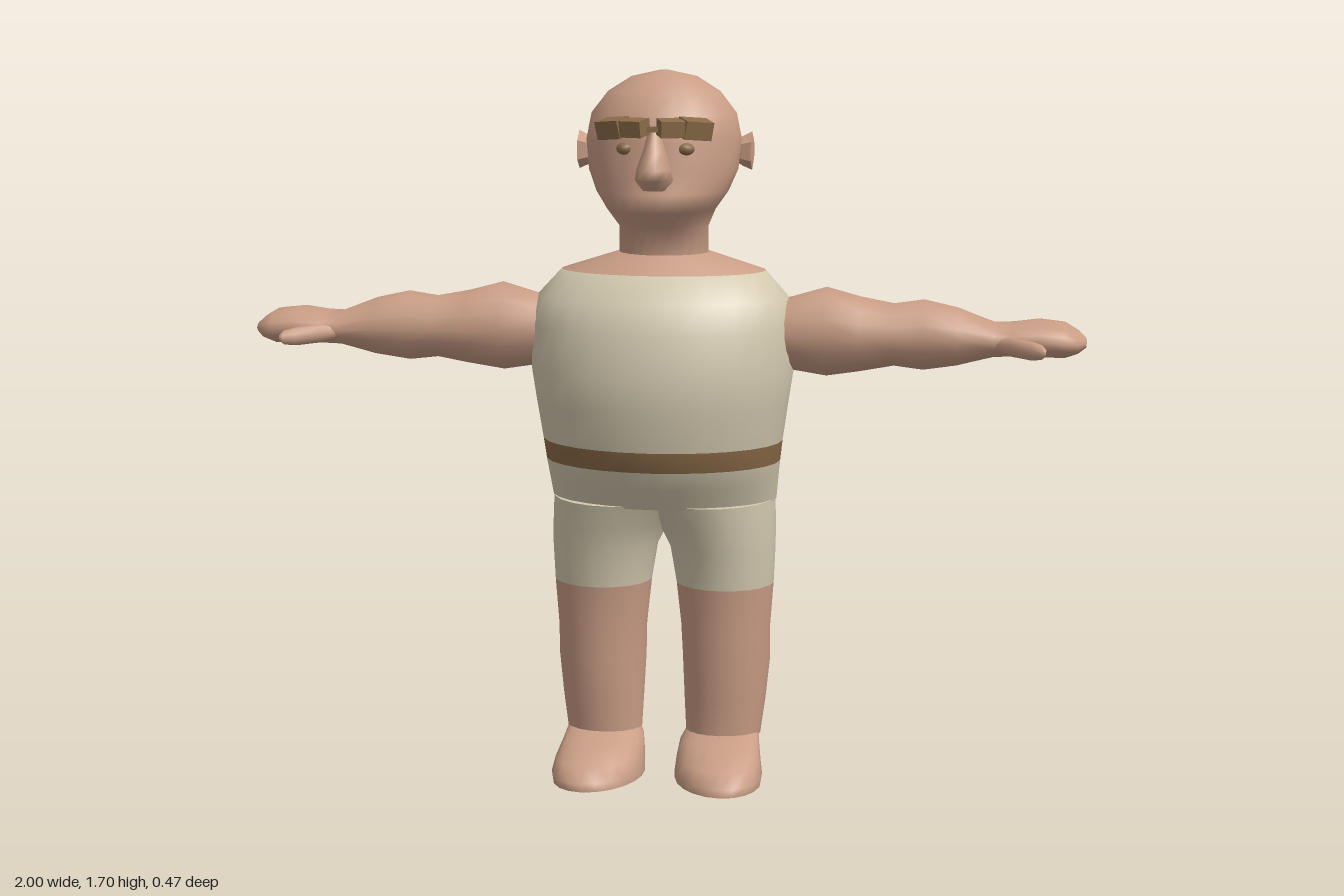
import * as THREE from 'three';

const material = (name, color) => {
  const m = new THREE.MeshStandardMaterial({ color });
  m.name = name;
  return m;
};

// Lofts ellipses along an axis; each section is [position, minU, maxU, minV, maxV].
// U, V are x, z for axis 'y' and y, z for axis 'x'. bands gives a material index per band.
function loft(axis, sections, sides = 24, bands = null) {
  const pos = [], index = [], geo = new THREE.BufferGeometry();
  const ring = ([p, u0, u1, v0, v1]) => {
    for (let j = 0; j < sides; j++) {
      const t = (j / sides) * Math.PI * 2;
      const u = (u0 + u1) / 2 + ((u1 - u0) / 2) * Math.cos(t);
      const v = (v0 + v1) / 2 + ((v1 - v0) / 2) * Math.sin(t) * (axis === 'x' ? -1 : 1);
      if (axis === 'x') pos.push(p, u, v); else pos.push(u, p, v);
    }
  };
  sections.forEach(ring);
  for (let i = 0; i < sections.length - 1; i++) {
    const start = index.length;
    for (let j = 0; j < sides; j++) {
      const k = (j + 1) % sides;
      const a = i * sides + j, b = i * sides + k, c = a + sides, d = b + sides;
      index.push(a, c, b, b, c, d);
    }
    if (bands) geo.addGroup(start, sides * 6, bands[i]);
  }
  // end caps with their own vertices, so that the rims stay sharp
  [0, sections.length - 1].forEach((s, end) => {
    const start = index.length, base = pos.length / 3;
    ring(sections[s]);
    for (let j = 1; j < sides - 1; j++) {
      if (end) index.push(base, base + j + 1, base + j);
      else index.push(base, base + j, base + j + 1);
    }
    if (bands) geo.addGroup(start, index.length - start, bands[end ? bands.length - 1 : 0]);
  });
  geo.setAttribute('position', new THREE.Float32BufferAttribute(pos, 3));
  geo.setIndex(index);
  geo.computeVertexNormals();
  return geo;
}

// Mirrors a geometry across x = 0 and restores the corner order.
function mirrored(geo) {
  const g = geo.clone().applyMatrix4(new THREE.Matrix4().makeScale(-1, 1, 1));
  const ix = g.index;
  for (let i = 0; i < ix.count; i += 3) {
    const b = ix.getX(i + 1);
    ix.setX(i + 1, ix.getX(i + 2));
    ix.setX(i + 2, b);
  }
  return g;
}

export function createModel() {
  const model = new THREE.Group();
  const skin = material('skin', 0xc99d85);
  const cloth = material('cloth', 0xd2c8ae);
  const brown = material('brown', 0x8c6c49);

  const add = (name, geo, mat) => {
    const mesh = new THREE.Mesh(geo, mat);
    mesh.name = name;
    model.add(mesh);
  };
  const addPair = (name, geo, mat) => {
    add(name + 'Left', geo, mat);
    add(name + 'Right', mirrored(geo), mat);
  };
  const sym = ([y, x, z0, z1]) => [y, -x, x, z0, z1];

  // Shirt with belt and bare neckline
  add('torso', loft('y', [
    [0.675, 0.272, -0.222, 0.135], [0.73, 0.278, -0.224, 0.17],
    [0.775, 0.283, -0.225, 0.195], [0.825, 0.289, -0.226, 0.21],
    [0.92, 0.303, -0.23, 0.23], [1.0, 0.315, -0.233, 0.235],
    [1.1, 0.312, -0.226, 0.22], [1.17, 0.3, -0.213, 0.19],
    [1.23, 0.245, -0.18, 0.13], [1.272, 0.11, -0.13, 0.07],
  ].map(sym), 28, [1, 1, 2, 1, 1, 1, 1, 1, 0]), [skin, cloth, brown]);

  // Head and neck
  add('head', loft('y', [
    [1.26, 0.107, -0.13, 0.07], [1.335, 0.107, -0.13, 0.072],
    [1.378, 0.128, -0.138, 0.16], [1.42, 0.157, -0.16, 0.153],
    [1.47, 0.178, -0.186, 0.142], [1.54, 0.185, -0.2, 0.14],
    [1.6, 0.173, -0.19, 0.128], [1.65, 0.134, -0.155, 0.088],
    [1.685, 0.078, -0.108, 0.035], [1.7, 0.01, -0.045, -0.025],
  ].map(sym), 24), skin);

  // Face
  add('nose', loft('y', [
    [1.43, 0.03, 0.1, 0.16], [1.455, 0.045, 0.09, 0.198],
    [1.48, 0.04, 0.09, 0.208], [1.52, 0.027, 0.09, 0.18], [1.57, 0.015, 0.09, 0.152],
  ].map(sym), 10), skin);
  addPair('eye', new THREE.SphereGeometry(0.02, 10, 8).scale(1.1, 0.8, 1).translate(0.07, 1.525, 0.117), brown);
  addPair('innerBrow', new THREE.BoxGeometry(0.056, 0.038, 0.045)
    .rotateX(0.15).rotateY(0.4).translate(0.042, 1.576, 0.165), brown);
  addPair('outerBrow', new THREE.BoxGeometry(0.07, 0.043, 0.045)
    .rotateX(0.15).rotateY(0.6).rotateZ(-0.1).translate(0.095, 1.573, 0.138), brown);
  add('browBridge', new THREE.BoxGeometry(0.04, 0.012, 0.02).translate(0, 1.572, 0.16), brown);

  // Ears flare outwards from the head
  const ear = loft('x', [
    [0.16, 1.49, 1.53, -0.07, -0.03], [0.185, 1.475, 1.545, -0.085, -0.02],
    [0.207, 1.465, 1.556, -0.095, -0.015], [0.21, 1.485, 1.54, -0.08, -0.035],
  ], 6).toNonIndexed();
  ear.computeVertexNormals();
  ear.setIndex([...Array(ear.attributes.position.count).keys()]);
  addPair('ear', ear, skin);

  // Arms with mitten hands
  addPair('arm', loft('x', [
    [0.25, 1.01, 1.155, -0.105, 0.055], [0.31, 0.993, 1.17, -0.115, 0.065],
    [0.39, 0.98, 1.193, -0.13, 0.073], [0.47, 0.993, 1.172, -0.118, 0.07],
    [0.55, 1.008, 1.157, -0.108, 0.06], [0.62, 1.0, 1.168, -0.11, 0.067],
    [0.7, 1.012, 1.15, -0.105, 0.06], [0.785, 1.035, 1.117, -0.098, 0.05],
    [0.83, 1.037, 1.118, -0.108, 0.058], [0.89, 1.036, 1.125, -0.125, 0.064],
    [0.95, 1.035, 1.118, -0.123, 0.055], [0.98, 1.045, 1.1, -0.1, 0.03],
    [1.0, 1.06, 1.082, -0.055, -0.01],
  ], 16), skin);
  addPair('thumb', loft('x', [
    [0.78, 1.055, 1.085, 0.0, 0.04], [0.82, 1.048, 1.092, 0.03, 0.078],
    [0.87, 1.046, 1.09, 0.075, 0.122], [0.895, 1.05, 1.085, 0.1, 0.135],
    [0.905, 1.06, 1.075, 0.115, 0.13],
  ], 10), skin);

  // Shorts and legs
  addPair('leg', loft('y', [
    [0.09, 0.055, 0.238, -0.11, 0.047], [0.18, 0.05, 0.25, -0.13, 0.055],
    [0.28, 0.045, 0.26, -0.155, 0.068], [0.36, 0.042, 0.26, -0.138, 0.07],
    [0.47, 0.03, 0.268, -0.15, 0.083], [0.56, 0.015, 0.272, -0.168, 0.1],
    [0.62, -0.015, 0.272, -0.195, 0.117], [0.68, -0.06, 0.27, -0.218, 0.135],
  ], 20, [0, 0, 0, 0, 1, 1, 1]), [skin, cloth]);

  // Feet, toes turned slightly outwards
  const foot = loft('y', [
    [0, 0.03, 0.24, -0.072, 0.22], [0.02, 0.03, 0.243, -0.073, 0.22],
    [0.05, 0.035, 0.24, -0.083, 0.19], [0.08, 0.045, 0.238, -0.1, 0.11],
    [0.1, 0.058, 0.235, -0.108, 0.048],
  ], 20);
  const p = foot.attributes.position;
  for (let i = 0; i < p.count; i++) p.setX(i, p.getX(i) + Math.max(0, p.getZ(i)) * 0.14);
  foot.computeVertexNormals();
  addPair('foot', foot, skin);

  return model;
}
